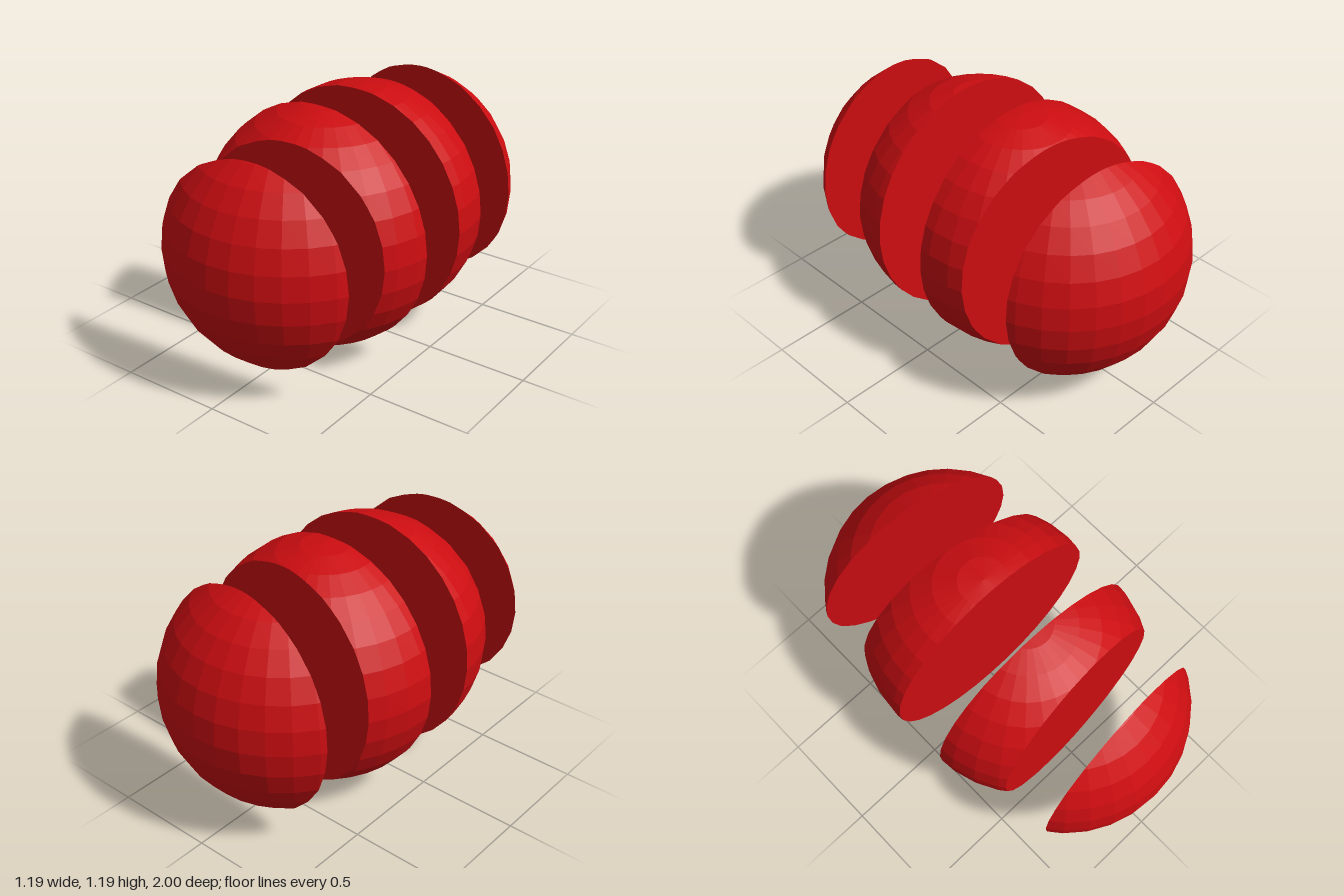
import * as THREE from 'three';

const R = 0.593;

// Signed distance-like value to a slicing plane z = a + b*x + c*y
const side = (p, [a, b, c]) => p.z - a - b * p.x - c * p.y;

// Keep the part of a convex polygon where sign * side >= 0; collect the new edge points
function clip(poly, plane, sign, cutPoints) {
  const out = [];
  poly.forEach((p, i) => {
    const q = poly[(i + 1) % poly.length];
    const dp = sign * side(p, plane), dq = sign * side(q, plane);
    if (dp >= 0) out.push(p);
    if ((dp >= 0) !== (dq >= 0)) {
      const m = p.clone().lerp(q, dp / (dp - dq));
      out.push(m);
      cutPoints.push(m);
    }
  });
  return out;
}

// Slice of a faceted ball between two planes, with flat cut faces
function sliceGeometry(back, front) {
  const pos = new THREE.SphereGeometry(R, 32, 16).toNonIndexed().attributes.position;
  const verts = [];
  const tri = (a, b, c) => [a, b, c].forEach((p) => verts.push(p.x, p.y, p.z));
  const cuts = [[back, 1, []], [front, -1, []]].filter(([plane]) => plane);

  for (let i = 0; i < pos.count; i += 3) {
    let poly = [0, 1, 2].map((k) => new THREE.Vector3().fromBufferAttribute(pos, i + k));
    for (const [plane, sign, points] of cuts) poly = clip(poly, plane, sign, points);
    for (let k = 1; k + 1 < poly.length; k++) tri(poly[0], poly[k], poly[k + 1]);
  }

  // Close each cut with a fan around its centre
  for (const [plane, sign, points] of cuts) {
    const mid = new THREE.Vector3(0, 0, plane[0]);
    const angle = (p) => Math.atan2(p.y, p.x);
    points.sort((p, q) => angle(p) - angle(q));
    points.forEach((p, i) => {
      const q = points[(i + 1) % points.length];
      if (sign > 0) tri(mid, q, p); // faces backward
      else tri(mid, p, q); // faces forward
    });
  }

  const geo = new THREE.BufferGeometry();
  geo.setAttribute('position', new THREE.Float32BufferAttribute(verts, 3));
  geo.computeVertexNormals();
  return geo;
}

export function createModel() {
  const group = new THREE.Group();
  group.name = 'slicedBall';
  const material = new THREE.MeshStandardMaterial({ color: 0xcc0d11, flatShading: true });

  // Slightly tilted slicing planes, from back to front
  const rear = [-0.247, 0.11, 0.028];
  const middle = [0.046, 0.0148, 0.025];
  const fore = [0.321, -0.072, 0];

  // Name, plane behind, plane in front, centre after pulling the slices apart
  const slices = [
    ['backCap', null, rear, -0.407],
    ['backSlice', rear, middle, -0.135],
    ['frontSlice', middle, fore, 0.143],
    ['frontCap', fore, null, 0.407],
  ];
  for (const [name, back, front, z] of slices) {
    const mesh = new THREE.Mesh(sliceGeometry(back, front), material);
    mesh.name = name;
    mesh.position.set(0, R, z);
    group.add(mesh);
  }
  return group;
}
